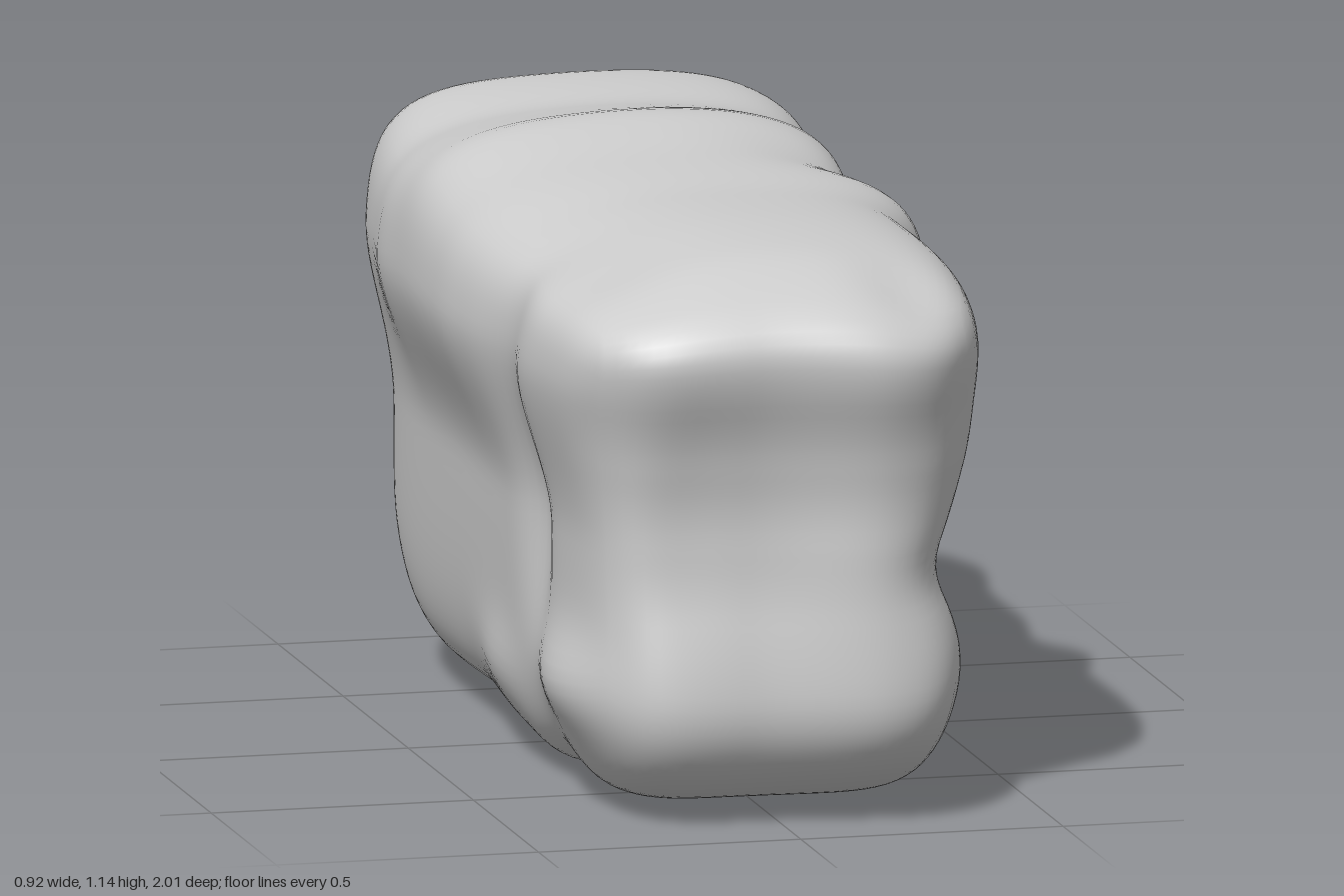
import * as THREE from 'three';
import { mergeVertices } from 'three/addons/utils/BufferGeometryUtils.js';

const { lerp, smoothstep } = THREE.MathUtils;

// Linear lookup through [t, value] pairs (t rising), softened by averaging nearby samples.
function lerpAt(pts, t) {
  if (t <= pts[0][0]) return pts[0][1];
  for (let i = 1; i < pts.length; i++) {
    const [t1, v1] = pts[i], [t0, v0] = pts[i - 1];
    if (t <= t1) return v0 + (v1 - v0) * (t - t0) / (t1 - t0);
  }
  return pts[pts.length - 1][1];
}
const profile = pts => t => [-0.04, -0.02, 0, 0.02, 0.04]
  .reduce((sum, d) => sum + lerpAt(pts, t + d) / 5, 0);
const bell = (d, r) => Math.exp(-(d * d) / (r * r));

// Outlines along the length (z)
const topY = profile([[-1, 1.13], [-0.8, 1.135], [-0.55, 1.09], [-0.4, 1.11], [-0.2, 1.146],
  [0, 1.11], [0.25, 1.085], [0.5, 1.085], [0.75, 1.08], [0.9, 1.05], [1, 1.01]]);
const bottomY = profile([[-1, 0.03], [-0.6, 0.03], [-0.2, 0.04], [0, 0.02], [0.25, 0],
  [0.43, 0.04], [0.6, 0.005], [1, 0.005]]);
const leftX = profile([[-1, 0.43], [-0.9, 0.445], [-0.7, 0.475], [-0.5, 0.425], [-0.3, 0.41],
  [-0.05, 0.385], [0.1, 0.475], [0.22, 0.425], [0.6, 0.43], [0.8, 0.415], [1, 0.36]]);
const rightX = profile([[-1, 0.38], [-0.8, 0.41], [-0.6, 0.425], [-0.4, 0.46], [-0.1, 0.465],
  [0.1, 0.465], [0.25, 0.445], [0.4, 0.405], [0.55, 0.435], [0.8, 0.42], [1, 0.36]]);

// Outlines over the height (y)
const frontZ = profile([[0, 0.94], [0.2, 0.975], [0.3, 0.96], [0.45, 0.93], [0.6, 0.93],
  [0.75, 0.965], [0.94, 1.07], [1.1, 1.03]]);
const backZ = profile([[0, 0.93], [0.3, 0.985], [0.5, 0.955], [0.65, 0.975], [0.82, 1.015], [1.1, 1.01]]);

// Half widths of the lower flanks, which run nearly straight under the wider top
const leftFlank = profile([[0, 0.35], [0.1, 0.36], [0.28, 0.39], [0.37, 0.375], [0.46, 0.33],
  [0.57, 0.37], [0.7, 0.4]]);
const rightFlank = profile([[0, 0.345], [0.1, 0.35], [0.4, 0.36], [0.6, 0.365]]);

// Height of the overhanging ledge along the left side
const ledgeY = profile([[-1, 0.7], [-0.7, 0.7], [-0.4, 0.6], [-0.15, 0.71], [0, 0.72],
  [0.3, 0.63], [0.5, 0.49], [0.75, 0.45], [1, 0.45]]);

// Bulges (+) and hollows (-) on the flanks: [z, y, z radius, y radius, depth]
const leftBumps = [
  [0, 0.92, 0.06, 0.2, -0.015], [0.26, 0.2, 0.1, 0.2, -0.05], [-0.52, 0.2, 0.1, 0.08, -0.025],
  [0, 0.28, 0.15, 0.15, 0.01], [0.55, 0.27, 0.15, 0.13, 0.01],
];
const rightBumps = [
  [0.4, 0.52, 0.09, 0.2, -0.035], [0.65, 0.24, 0.2, 0.09, 0.045], [0.1, 0.17, 0.15, 0.08, 0.02],
];
const relief = (bumps, y, z) => bumps
  .reduce((sum, [bz, by, rz, ry, d]) => sum + d * bell(z - bz, rz) * bell(y - by, ry), 0);

// Turns a point of the rounded unit block into a point of the rock
function weather(p) {
  const { x: u, y: v, z: w } = p;
  const low = bottomY(w);
  let y = low + (topY(w) - low) * (v + 1) / 2;
  let z = w > 0 ? w * frontZ(y) : w * backZ(y);
  let x;
  if (u > 0) {
    const d = y - ledgeY(z);
    const ledge = 0.015 * bell(d - 0.07, 0.07) - 0.025 * bell(d + 0.05, 0.08);
    const width = lerp(leftX(w), leftFlank(y), 1 - smoothstep(y, 0.5, 0.9));
    x = u * (width + ledge * (1 - smoothstep(z, 0.5, 0.85)) + relief(leftBumps, y, z));
  } else {
    const width = lerp(rightX(w), rightFlank(y), 1 - smoothstep(y, 0.52, 0.86));
    x = u * (width + relief(rightBumps, y, z));
  }
  // end faces stand further out on the left, with dents and swells
  const end = w ** 4;
  z *= 1 - 0.04 * end * smoothstep(-x, -0.2, 0.08);
  if (w > 0) {
    z += end * 0.015 * bell(x - 0.12, 0.16) * bell(y - 0.48, 0.15);
    z -= end * 0.015 * bell(x + 0.2, 0.1) * bell(y - 0.6, 0.25);
  } else {
    z += end * 0.02 * bell(x - 0.02, 0.12) * bell(y - 0.5, 0.25);
  }
  // crowned top with shallow troughs
  if (v > 0) {
    const top = v ** 4;
    y -= top * 0.055 * u * u;
    y -= top * 0.03 * bell(x - 0.25, 0.09) * bell(z - 0.88, 0.13);
    y -= top * 0.045 * bell(x + 0.33, 0.17) * bell(z - 0.65, 0.35);
    y -= top * 0.015 * bell(x - 0.3, 0.15) * bell(z + 0.05, 0.15);
  }
  p.set(x, y, z);
}

export function createModel() {
  const group = new THREE.Group();
  group.name = 'rock';

  let geometry = new THREE.BoxGeometry(2, 2, 2, 32, 40, 64);
  geometry.deleteAttribute('uv');
  geometry.deleteAttribute('normal');
  geometry = mergeVertices(geometry);

  // Round the block as a superquadric, then weather it
  const pos = geometry.attributes.position;
  const p = new THREE.Vector3();
  const n = 5.5;
  for (let i = 0; i < pos.count; i++) {
    p.fromBufferAttribute(pos, i);
    const r = Math.abs(p.x) ** n + Math.abs(p.y) ** n + Math.abs(p.z) ** n;
    p.multiplyScalar(r ** (-1 / n));
    weather(p);
    pos.setXYZ(i, p.x, p.y, p.z);
  }
  geometry.computeVertexNormals();

  const stone = new THREE.Mesh(geometry, new THREE.MeshStandardMaterial({ color: 0xcccccc }));
  stone.name = 'boulder';
  group.add(stone);
  return group;
}
